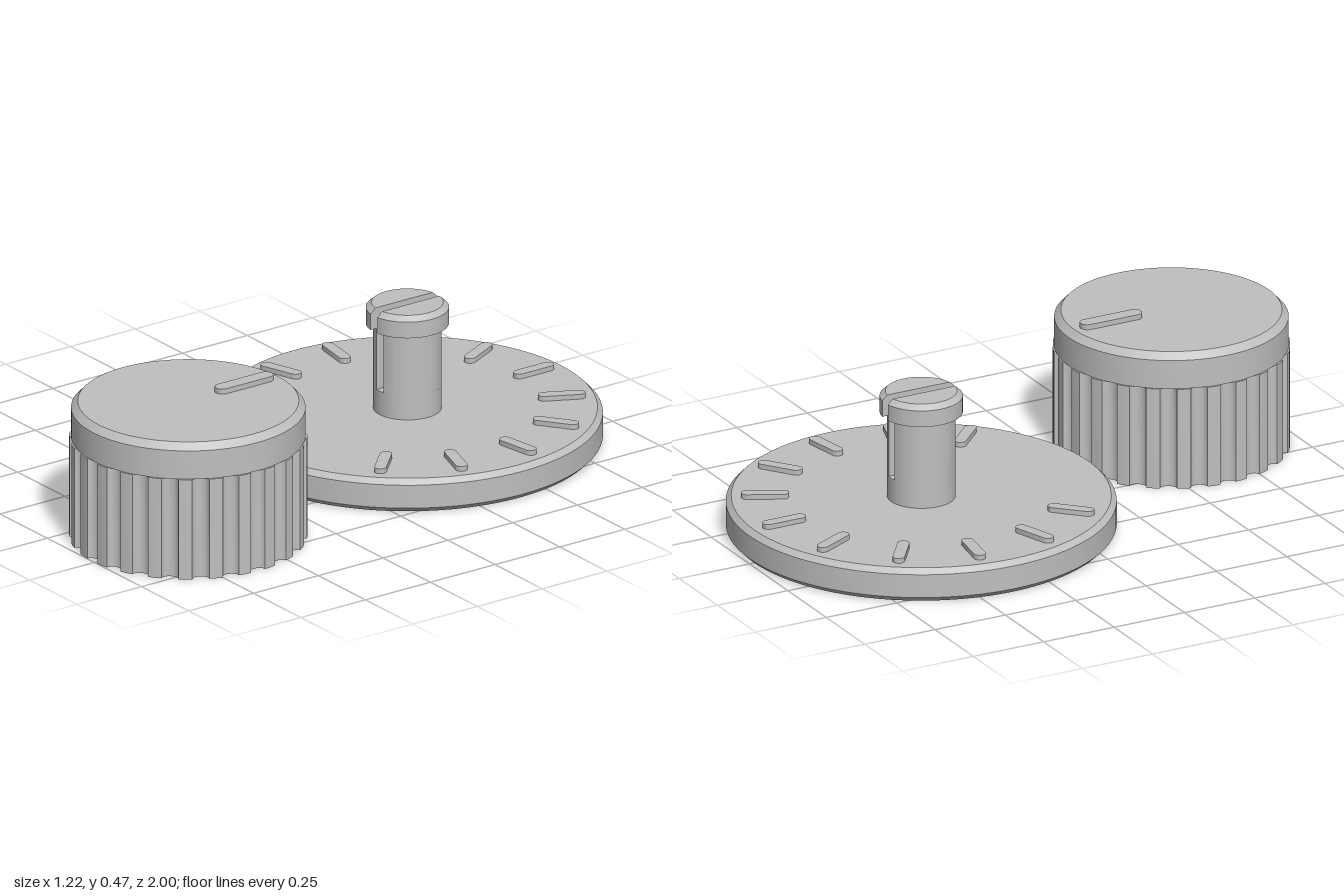
import * as THREE from 'three';
import { toCreasedNormals } from 'three/addons/utils/BufferGeometryUtils.js';

const grey = new THREE.MeshStandardMaterial({ color: 0xbfbfbf });
grey.name = 'grey plastic';

function add(group, name, geometry) {
  const mesh = new THREE.Mesh(toCreasedNormals(geometry, 0.5), grey);
  mesh.name = name;
  group.add(mesh);
  return mesh;
}

// Solid of revolution from [radius, y] pairs, bottom to top
function turned(profile, segments = 96) {
  return new THREE.LatheGeometry(profile.map(([r, y]) => new THREE.Vector2(r, y)), segments);
}

// Upright extrusion of a plan shape between two heights
function upright(shape, y0, y1) {
  const g = new THREE.ExtrudeGeometry(shape, { depth: y1 - y0, bevelEnabled: false, curveSegments: 24 });
  return g.rotateX(-Math.PI / 2).translate(0, y0, 0);
}

// Round-ended bar lying along z
function bar(length, width, y0, y1) {
  const r = width / 2, h = length / 2 - r;
  const s = new THREE.Shape();
  s.absarc(0, h, r, 0, Math.PI, false);
  s.absarc(0, -h, r, Math.PI, Math.PI * 2, false);
  s.closePath();
  return upright(s, y0, y1);
}

// One half of a slotted round post: disc segments with x >= gap, stacked by [radius, y]
function postHalf(profile, gap) {
  const n = 32, pos = [], index = [];
  for (const [r, y] of profile) {
    const limit = Math.acos(gap / r);
    for (let i = 0; i <= n; i++) {
      const t = limit - (2 * limit * i) / n;
      pos.push(r * Math.cos(t), y, r * Math.sin(t));
    }
  }
  const m = n + 1, last = (profile.length - 1) * m;
  for (let k = 0; k < profile.length - 1; k++) {
    for (let i = 0; i < m; i++) {
      const a = k * m + i, b = k * m + ((i + 1) % m);
      index.push(a, b, b + m, a, b + m, a + m);
    }
  }
  for (let i = 1; i < n; i++) {
    index.push(0, i + 1, i);
    index.push(last, last + i, last + i + 1);
  }
  const g = new THREE.BufferGeometry();
  g.setAttribute('position', new THREE.Float32BufferAttribute(pos, 3));
  g.setIndex(index);
  return g;
}

// Plan of the knob grip: round flutes cut in the rim, bore in the middle
function gripShape(radius, flutes, fluteWidth, fluteDepth, bore) {
  const pts = [], step = (Math.PI * 2) / flutes;
  for (let i = 0; i < flutes; i++) {
    const a = i * step, c = Math.cos(a), s = Math.sin(a);
    for (let j = 0; j <= 8; j++) {
      const t = -Math.PI / 2 + (Math.PI * j) / 8;
      const out = radius - 0.002 - fluteDepth * Math.cos(t), side = (fluteWidth / 2) * Math.sin(t);
      pts.push(new THREE.Vector2(c * out - s * side, s * out + c * side));
    }
    const mid = a + step / 2;
    pts.push(new THREE.Vector2(radius * Math.cos(mid), radius * Math.sin(mid)));
  }
  const shape = new THREE.Shape(pts);
  shape.holes.push(new THREE.Path().absarc(0, 0, bore, 0, Math.PI * 2, true));
  return shape;
}

export function createModel() {
  const model = new THREE.Group();
  model.name = 'dialAndKnob';

  // Dial plate with chamfered rims
  const dial = new THREE.Group();
  dial.name = 'dial';
  dial.position.set(0, 0, -0.39);
  model.add(dial);
  add(dial, 'dialPlate', turned([[0, 0], [0.593, 0], [0.61, 0.017], [0.61, 0.094], [0.593, 0.111], [0, 0.111]]));

  // Eleven raised scale marks, 27 degrees apart
  for (let i = -5; i <= 5; i++) {
    const a = THREE.MathUtils.degToRad(27 * i);
    const mark = add(dial, 'scaleMark', bar(0.15, 0.038, 0.105, 0.127));
    mark.position.set(0.487 * Math.sin(a), 0, -0.487 * Math.cos(a));
    mark.rotation.y = -a;
  }

  // Split snap-fit post
  add(dial, 'postBase', turned([[0.107, 0.105], [0.107, 0.19], [0, 0.19]], 64));
  const profile = [[0.107, 0.19], [0.107, 0.395], [0.13, 0.395], [0.13, 0.449], [0.112, 0.465]];
  for (const turn of [0, Math.PI]) {
    add(dial, 'postHalf', postHalf(profile, 0.018)).rotation.y = turn;
  }

  // Knob: fluted grip, smooth chamfered cap and pointer
  const knob = new THREE.Group();
  knob.name = 'knob';
  knob.position.set(0.237, 0, 0.628);
  model.add(knob);
  add(knob, 'knobGrip', upright(gripShape(0.372, 24, 0.054, 0.022, 0.115), 0, 0.335));
  add(knob, 'knobCap', turned([[0, 0.335], [0.366, 0.335], [0.366, 0.43], [0.345, 0.452], [0, 0.452]]));
  add(knob, 'pointer', bar(0.215, 0.048, 0.445, 0.469)).position.z = -0.215;

  return model;
}
